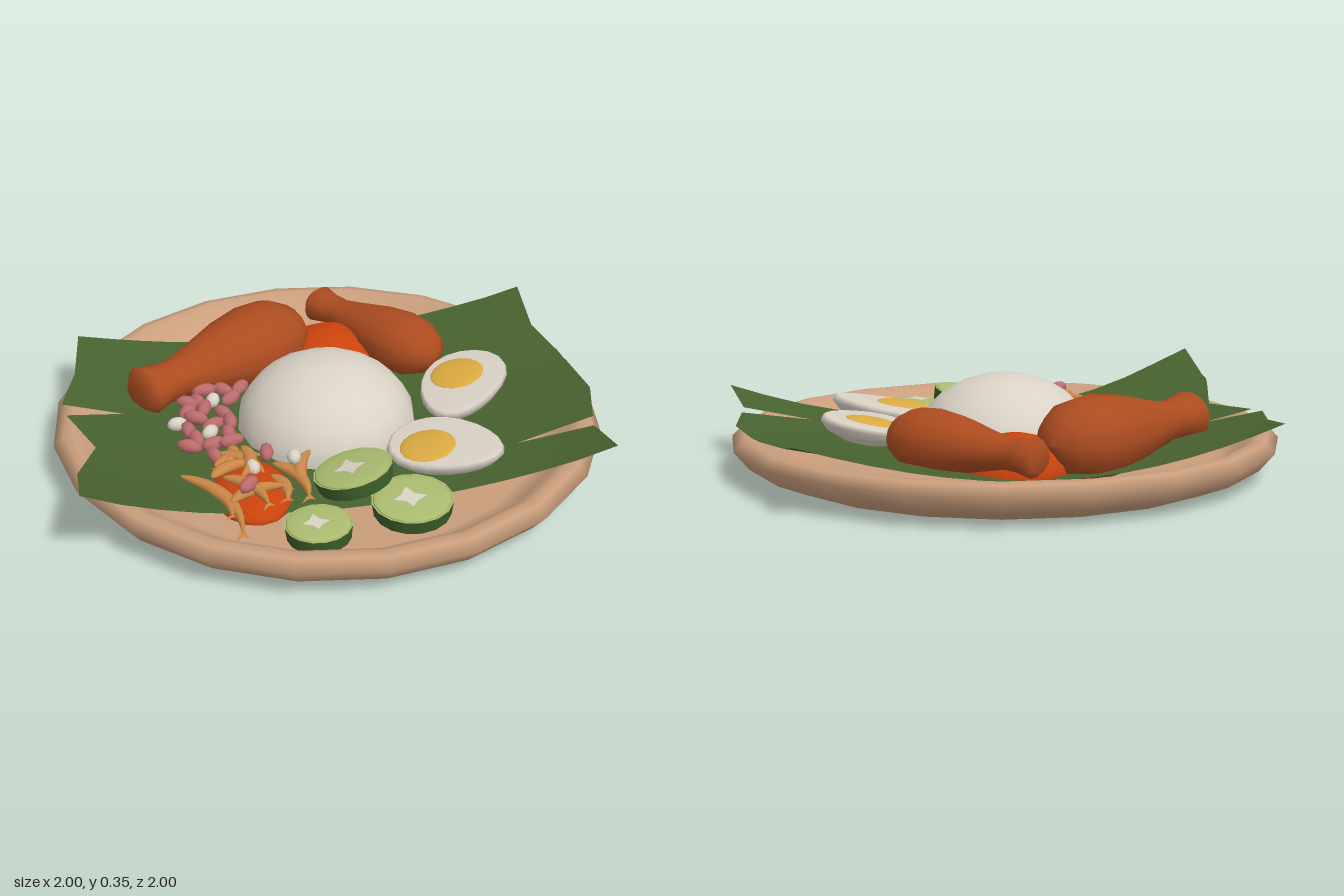
import * as THREE from 'three';

const mat = (name, color) => {
  const m = new THREE.MeshStandardMaterial({ color });
  m.name = name;
  return m;
};
const M = {
  clay: mat('clay tan', 0xc99e7c),
  leaf: mat('leaf green', 0x48622f),
  white: mat('rice white', 0xdad2c6),
  yolk: mat('yolk yellow', 0xdbab42),
  chicken: mat('fried brown', 0xac4c20),
  sambal: mat('chilli red', 0xc9430d),
  flesh: mat('cucumber flesh', 0xabbc70),
  skin: mat('cucumber skin', 0x3c5c2a),
  fish: mat('fried fish', 0xcb8846),
  nut: mat('peanut pink', 0xbb6b6d),
};
M.leaf.side = THREE.DoubleSide;
M.fish.side = THREE.DoubleSide;

const v2 = (pts) => pts.map(([x, y]) => new THREE.Vector2(x, y));

function add(parent, name, geo, material, x = 0, y = 0, z = 0) {
  const mesh = new THREE.Mesh(geo, material);
  mesh.name = name;
  mesh.position.set(x, y, z);
  parent.add(mesh);
  return mesh;
}

// Move every vertex by a rule
function bend(geo, rule) {
  const p = geo.attributes.position;
  const v = new THREE.Vector3();
  for (let i = 0; i < p.count; i++) {
    rule(v.fromBufferAttribute(p, i));
    p.setXYZ(i, v.x, v.y, v.z);
  }
  geo.computeVertexNormals();
  return geo;
}

// Upper half of a flattened ball
const dome = (rx, ry, rz, seg = 16) =>
  new THREE.SphereGeometry(1, seg, 6, 0, Math.PI * 2, 0, Math.PI / 2).scale(rx, ry, rz);

// Banana leaf: rows of [left x, right x, z, bow of the middle], torn at both sides
function leafGeometry() {
  const rows = [
    [-0.84, 0.905, -0.6, -0.055], [-0.88, 0.895, -0.37, 0], [-0.95, 0.94, -0.17, 0],
    [-0.73, 0.945, -0.125, 0], [-0.94, 0.95, -0.1, 0], [-0.86, 0.97, 0.12, 0],
    [-0.94, 0.91, 0.33, 0], [-0.95, 0.62, 0.365, 0], [-0.95, 0.89, 0.4, 0], [-0.965, 0.9, 0.62, -0.05],
  ];
  const n = 14, pos = [], idx = [];
  rows.forEach(([l, r, z, bow], j) => {
    for (let i = 0; i <= n; i++) {
      const x = l + ((r - l) * i) / n;
      const zz = z + bow * (1 - Math.min(1, (x / 0.85) ** 2));
      const corner = x < 0 && zz > 0 ? 0.33 : 0.25;
      pos.push(x, 0.09 + 0.1 * x * x + corner * x * x * zz * zz, zz);
      if (j && i) {
        const d = j * (n + 1) + i, b = d - n - 1;
        idx.push(b - 1, d - 1, b, b, d - 1, d);
      }
    }
  });
  const g = new THREE.BufferGeometry();
  g.setAttribute('position', new THREE.Float32BufferAttribute(pos, 3));
  g.setIndex(idx);
  g.computeVertexNormals();
  return g;
}

// Drumstick laid from its knuckle (x0, z0) along an angle
function drumstick(parent, name, x0, z0, x1, z1, thick) {
  const profile = v2([[0, 0], [0.07, 0], [0.103, 0.03], [0.085, 0.1], [0.082, 0.17], [0.11, 0.28],
    [0.15, 0.42], [0.17, 0.55], [0.16, 0.66], [0.11, 0.74], [0.05, 0.775], [0, 0.785]]);
  const len = Math.hypot(x1 - x0, z1 - z0) / 0.785;
  const geo = new THREE.LatheGeometry(profile, 14).rotateZ(-Math.PI / 2)
    .scale(len, thick * 0.88, thick).rotateY(Math.atan2(z0 - z1, x1 - x0));
  add(parent, name, geo, M.chicken, x0, 0.19, z0);
}

// Half boiled egg, cut face up; (nx, nz) points to its narrow end
function egg(parent, x, y, z, nx, nz, tilt, yx, yz) {
  const g = new THREE.Group();
  g.name = 'halfEgg';
  const turn = Math.atan2(-nz, nx);
  const body = bend(new THREE.LatheGeometry(
    v2([[0, -0.07], [0.5, -0.062], [0.85, -0.035], [1, -0.005], [0.97, 0.012], [0.92, 0.018], [0, 0.018]]), 20),
  (v) => { v.z *= 0.157 * (1 - 0.2 * v.x); v.x *= 0.217; }).rotateY(turn);
  add(g, 'eggWhite', body, M.white);
  add(g, 'eggYolk', dome(0.103, 0.016, 0.103), M.yolk, yx, 0.015, yz);
  g.position.set(x, y, z);
  g.rotation.z = tilt;
  parent.add(g);
}

// Cucumber slice with a pale seed patch
function cucumber(parent, x, y, z, r, tiltX, tiltZ) {
  const g = new THREE.Group();
  g.name = 'cucumberSlice';
  add(g, 'cucumberDisc', new THREE.CylinderGeometry(r, r * 0.95, 0.05, 16), [M.skin, M.flesh, M.skin]);
  add(g, 'cucumberFace', dome(r * 0.96, 0.012, r * 0.96), M.flesh, 0, 0.025, 0);
  const radii = [0.42, 0.2, 0.45, 0.24, 0.4, 0.18, 0.36, 0.22];
  const patch = new THREE.Shape(radii.map((k, i) =>
    new THREE.Vector2(Math.cos(i * Math.PI / 4), Math.sin(i * Math.PI / 4)).multiplyScalar(k * r)));
  add(g, 'cucumberSeeds', new THREE.ShapeGeometry(patch).rotateX(-Math.PI / 2), M.white, -0.01, 0.039, 0.01);
  g.position.set(x, y, z);
  g.rotation.set(tiltX, 0, tiltZ);
  parent.add(g);
}

// Small curved fish from head to tail, with a forked tail fin
function anchovy(parent, x0, z0, x1, z1, y, rise = 0) {
  const len = Math.hypot(x1 - x0, z1 - z0);
  const g = new THREE.Group();
  g.name = 'anchovy';
  const curve = (v) => { v.z += 0.6 * len * (v.x / len) ** 2; };
  add(g, 'fishBody', bend(new THREE.SphereGeometry(1, 8, 10).rotateZ(Math.PI / 2).scale(len / 2, 0.02, 0.024),
    (v) => { v.z *= 1 - (0.7 * v.x) / len; curve(v); }), M.fish);
  const fin = new THREE.Shape(v2([[len * 0.42, 0], [len * 0.6, 0.028], [len * 0.54, 0], [len * 0.6, -0.028]]));
  add(g, 'fishTail', bend(new THREE.ShapeGeometry(fin).rotateX(-Math.PI / 2), curve), M.fish);
  g.position.set((x0 + x1) / 2, y, (z0 + z1) / 2);
  g.rotation.set(0, Math.atan2(z0 - z1, x1 - x0), rise);
  parent.add(g);
}

export function createModel() {
  const root = new THREE.Group();
  root.name = 'riceMeal';

  // Clay plate with a rolled rim
  add(root, 'plate', new THREE.LatheGeometry(v2([[0, 0], [0.8, 0], [0.83, 0.004], [0.945, 0.05], [1, 0.115],
    [0.965, 0.15], [0.93, 0.155], [0.89, 0.135], [0.83, 0.075], [0.77, 0.055], [0, 0.05]]), 20), M.clay);
  add(root, 'bananaLeaf', leafGeometry(), M.leaf);

  // Rice mound and chilli sauce
  add(root, 'riceMound', dome(0.33, 0.26, 0.33), M.white, 0, 0.09, 0);
  add(root, 'chilliSauce', dome(0.2, 0.13, 0.18), M.sambal, 0.11, 0.09, -0.46);
  add(root, 'chilliSauceSmall', dome(0.14, 0.065, 0.2), M.sambal, -0.355, 0.095, 0.42);

  drumstick(root, 'drumstickLarge', -0.665, -0.18, 0.015, -0.575, 1);
  drumstick(root, 'drumstickSmall', 0.115, -0.75, 0.47, -0.21, 0.76);

  egg(root, 0.51, 0.19, 0, -0.5, 0.85, 0.2, 0, -0.05);
  egg(root, 0.35, 0.175, 0.38, 0.8, 0.6, 0.15, -0.065, 0);

  cucumber(root, -0.005, 0.165, 0.48, 0.142, -0.12, 0.22);
  cucumber(root, 0.165, 0.115, 0.63, 0.143, 0.05, 0.03);
  cucumber(root, -0.175, 0.1, 0.69, 0.117, 0, 0.04);

  // Fried anchovies: head x, z, tail x, z, height
  [[-0.53, 0.3, -0.38, 0.69, 0.14], [-0.41, 0.2, -0.28, 0.37, 0.15], [-0.47, 0.26, -0.3, 0.22, 0.14],
    [-0.5, 0.36, -0.34, 0.3, 0.16], [-0.32, 0.22, -0.36, 0.42, 0.165], [-0.22, 0.28, -0.14, 0.52, 0.13],
    [-0.46, 0.52, -0.26, 0.46, 0.16], [-0.42, 0.38, -0.3, 0.58, 0.165], [-0.26, 0.38, -0.23, 0.54, 0.14],
    [-0.48, 0.42, -0.43, 0.6, 0.14], [-0.36, 0.17, -0.42, 0.31, 0.14],
  ].forEach(([a, b, c, d, y]) => anchovy(root, a, b, c, d, y));
  anchovy(root, -0.2, 0.43, -0.14, 0.27, 0.145, 0.15);

  // Peanuts: x, z, with a few pale halves
  const nuts = [[-0.28, -0.24], [-0.35, -0.22], [-0.42, -0.21], [-0.49, -0.17], [-0.33, -0.15], [-0.4, -0.13],
    [-0.45, -0.17], [-0.5, -0.09], [-0.44, -0.08], [-0.37, -0.07], [-0.55, -0.01], [-0.48, -0.02], [-0.42, 0],
    [-0.36, 0.01], [-0.52, 0.06], [-0.44, 0.05], [-0.38, 0.09], [-0.5, 0.12], [-0.44, 0.13], [-0.53, 0.15],
    [-0.38, 0.16], [-0.45, 0.21], [-0.27, 0.245], [-0.38, 0.5], [-0.34, 0.36], [-0.19, 0.34]];
  nuts.forEach(([x, z], i) => {
    const pale = i === 5 || i === 10 || i === 15 || i > 23;
    const nut = add(root, 'peanut', new THREE.SphereGeometry(1, 8, 6).scale(pale ? 0.038 : 0.05, 0.026, 0.026),
      pale ? M.white : M.nut, x, (z > 0.3 ? 0.165 : 0.135) + 0.012 * (i % 3), z);
    nut.rotation.y = 0.9 + Math.sin(i * 2.4) * 0.9 + (i % 2) * 0.8;
  });
  return root;
}
